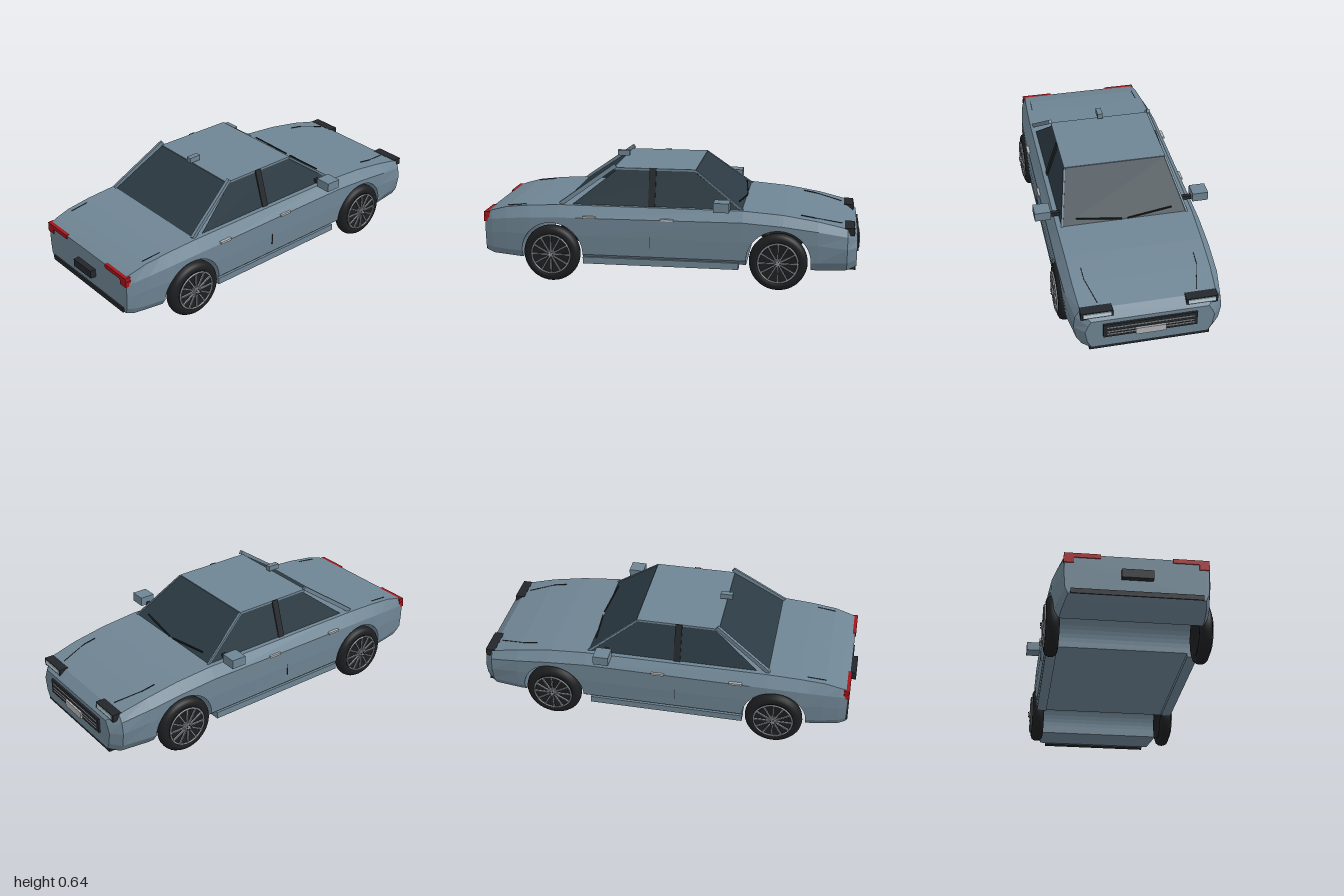
import * as THREE from 'three';

const mat = (color, extra = {}) => new THREE.MeshStandardMaterial({ color, ...extra });
const paint = mat(0x6f8594, { flatShading: true });
const glass = mat(0x2c3a43, { side: THREE.DoubleSide, flatShading: true });
const dark = mat(0x23272b);
const rubber = mat(0x1d1e20, { side: THREE.DoubleSide });
const metal = mat(0x8d9396);
const lens = mat(0xc3d6e0);
const red = mat(0xa3161c);
const plateGrey = mat(0xb2b4b6);

const WHEELS = [-0.6, 0.583], ARCH = 0.165, AXLE = 0.15;

// Half cross-sections from rear to front: x, then z,y of sill, lower side, middle, shoulder and top edge
const SECTIONS = [
  [-0.97, 0.32, 0.14, 0.335, 0.17, 0.34, 0.24, 0.34, 0.31, 0.325, 0.345],
  [-0.93, 0.33, 0.125, 0.345, 0.16, 0.352, 0.24, 0.352, 0.315, 0.335, 0.36],
  [-0.85, 0.34, 0.12, 0.36, 0.155, 0.367, 0.25, 0.366, 0.325, 0.34, 0.382],
  [-0.72, 0.35, 0.11, 0.375, 0.15, 0.385, 0.25, 0.382, 0.338, 0.347, 0.396],
  [-0.56, 0.353, 0.12, 0.385, 0.15, 0.39, 0.25, 0.39, 0.345, 0.352, 0.405],
  [0.4, 0.353, 0.12, 0.387, 0.15, 0.393, 0.25, 0.394, 0.352, 0.355, 0.405],
  [0.6, 0.353, 0.11, 0.386, 0.15, 0.392, 0.25, 0.392, 0.338, 0.35, 0.389],
  [0.78, 0.348, 0.105, 0.378, 0.15, 0.386, 0.245, 0.384, 0.315, 0.345, 0.36],
  [0.93, 0.33, 0.107, 0.355, 0.15, 0.368, 0.225, 0.36, 0.287, 0.335, 0.325],
  [0.98, 0.29, 0.12, 0.31, 0.16, 0.32, 0.225, 0.305, 0.26, 0.29, 0.285],
];

// Full ring of points at x, with everything below archY pushed up along the side
function ringAt(x, archY) {
  let k = 0;
  while (k < SECTIONS.length - 2 && x > SECTIONS[k + 1][0]) k++;
  const a = SECTIONS[k], b = SECTIONS[k + 1], t = (x - a[0]) / (b[0] - a[0]);
  const v = a.map((n, i) => n + (b[i] - n) * t);
  const half = [];
  for (let i = 1; i < 11; i += 2) half.push([v[i], v[i + 1]]);
  const zAt = (y) => {
    for (let i = 0; i < 4; i++) {
      const [z0, y0] = half[i], [z1, y1] = half[i + 1];
      if (y >= y0 && y <= y1) return z0 + (z1 - z0) * (y - y0) / (y1 - y0);
    }
    return half[4][0];
  };
  const side = half.map(([z, y]) => (y < archY ? [zAt(archY), archY] : [z, y]));
  return [...side.map(([z, y]) => [x, y, z]), ...side.reverse().map(([z, y]) => [x, y, -z])];
}

function bodyGeometry() {
  const stations = SECTIONS.map((s) => [s[0], 0])
    .filter(([x]) => WHEELS.every((w) => Math.abs(x - w) > ARCH));
  for (const w of WHEELS) {
    stations.push([w - ARCH - 1e-4, 0], [w + ARCH + 1e-4, 0]);
    for (let i = 0; i <= 24; i++) {
      const a = Math.PI * (1 - i / 24);
      stations.push([w + ARCH * Math.cos(a), AXLE + ARCH * Math.sin(a)]);
    }
  }
  stations.sort((p, q) => p[0] - q[0]);
  const rings = stations.map(([x, y]) => ringAt(x, y));
  const pos = [], n = 10, last = rings[rings.length - 1];
  const tri = (...p) => p.forEach((q) => pos.push(...q));
  for (let i = 0; i < rings.length - 1; i++) {
    for (let j = 0; j < n; j++) {
      const m = (j + 1) % n, a = rings[i][j], b = rings[i + 1][j], c = rings[i + 1][m], d = rings[i][m];
      tri(a, b, c);
      tri(a, c, d);
    }
  }
  for (let j = 1; j < n - 1; j++) {
    tri(rings[0][0], rings[0][j], rings[0][j + 1]);
    tri(last[0], last[j + 1], last[j]);
  }
  const g = new THREE.BufferGeometry();
  g.setAttribute('position', new THREE.Float32BufferAttribute(pos, 3));
  g.computeVertexNormals();
  return g;
}

export function createModel() {
  const car = new THREE.Group();
  car.name = 'car';
  const add = (name, geo, material, parent = car) => {
    const m = new THREE.Mesh(geo, material);
    m.name = name;
    parent.add(m);
    return m;
  };
  const box = (name, material, x0, x1, y0, y1, z0, z1) => {
    const m = add(name, new THREE.BoxGeometry(x1 - x0, y1 - y0, Math.abs(z1 - z0)), material);
    m.position.set((x0 + x1) / 2, (y0 + y1) / 2, (z0 + z1) / 2);
    return m;
  };
  // Square bar between two points
  const bar = (name, material, a, b, w, h) => {
    const p = new THREE.Vector3(...a), q = new THREE.Vector3(...b);
    const m = add(name, new THREE.BoxGeometry(w, h, p.distanceTo(q)), material);
    m.position.copy(p).add(q).multiplyScalar(0.5);
    m.lookAt(q);
    return m;
  };
  const quad = (name, material, a, b, c, d) => {
    const g = new THREE.BufferGeometry();
    g.setAttribute('position', new THREE.Float32BufferAttribute([a, b, c, a, c, d].flat(), 3));
    g.computeVertexNormals();
    return add(name, g, material);
  };

  add('body', bodyGeometry(), paint);

  // Cabin
  box('roof', paint, -0.285, 0.145, 0.58, 0.594, -0.27, 0.27);
  quad('windshield', glass, [0.395, 0.402, 0.327], [0.395, 0.402, -0.327], [0.145, 0.59, -0.268], [0.145, 0.59, 0.268]);
  quad('rearWindow', glass, [-0.56, 0.402, -0.325], [-0.56, 0.402, 0.325], [-0.285, 0.59, 0.268], [-0.285, 0.59, -0.268]);

  // Front and rear fittings
  box('grille', dark, 0.972, 0.99, 0.184, 0.263, -0.232, 0.232);
  for (const y of [0.243, 0.219, 0.203]) box('grilleSlat', plateGrey, 0.985, 0.994, y - 0.002, y + 0.002, -0.215, 0.215);
  box('frontPlate', plateGrey, 0.985, 1.0, 0.184, 0.222, -0.075, 0.075);
  box('rearPlate', dark, -1.0, -0.97, 0.225, 0.268, -0.075, 0.075);
  box('rearBumperStrip', dark, -0.978, -0.95, 0.14, 0.165, -0.31, 0.31);
  box('frontBumperStrip', dark, 0.94, 0.975, 0.102, 0.122, -0.3, 0.3);
  box('roofAntenna', paint, -0.315, -0.25, 0.608, 0.636, -0.014, 0.014);

  for (const s of [1, -1]) {
    // Side windows and pillars
    quad('sideWindow', glass, [-0.5, 0.402, s * 0.33], [0.385, 0.402, s * 0.33], [0.14, 0.583, s * 0.27], [-0.27, 0.583, s * 0.27]);
    bar('frontPillar', paint, [0.395, 0.402, s * 0.328], [0.145, 0.588, s * 0.268], 0.01, 0.01);
    bar('centrePillar', dark, [-0.078, 0.402, s * 0.332], [-0.078, 0.595, s * 0.27], 0.035, 0.008)
      .rotation.set(-s * Math.atan2(0.193, -0.062 * s) * s, 0, 0);
    bar('rearPillar', paint, [-0.56, 0.405, s * 0.332], [-0.275, 0.607, s * 0.275], 0.016, 0.022);

    // Mirrors
    box('mirror', paint, 0.256, 0.336, 0.417, 0.465, s * 0.374, s * 0.457);
    box('mirrorStalk', dark, 0.284, 0.306, 0.412, 0.432, s * 0.322, s * 0.38);

    // Doors and sills
    for (const x of [-0.395, 0.012]) box('doorHandle', plateGrey, x - 0.034, x + 0.034, 0.346, 0.357, s * 0.38, s * 0.399);
    box('doorSeam', dark, -0.079, -0.076, 0.2, 0.26, s * 0.38, s * 0.394);
    box('sill', paint, -0.435, 0.38, 0.1, 0.135, s * 0.33, s * 0.383);

    // Lights
    box('headlightBezel', dark, 0.915, 0.965, 0.292, 0.33, s * 0.18, s * 0.337);
    box('headlightLens', lens, 0.95, 0.969, 0.303, 0.325, s * 0.19, s * 0.325);
    box('tailLight', red, -0.975, -0.945, 0.328, 0.35, s * 0.17, s * 0.342);
    box('tailLightCorner', red, -0.975, -0.945, 0.3, 0.33, s * 0.295, s * 0.344);

    // Wipers and panel seams
    bar('wiper', dark, [0.395, 0.412, s * 0.015], [0.372, 0.431, s * 0.25], 0.006, 0.006);
    bar('hoodSeam', dark, [0.69, 0.377, s * 0.285], [0.76, 0.365, s * 0.283], 0.003, 0.004);
    bar('hoodSeam', dark, [0.76, 0.364, s * 0.283], [0.9, 0.333, s * 0.245], 0.003, 0.004);
    bar('trunkSeam', dark, [-0.85, 0.383, s * 0.31], [-0.75, 0.393, s * 0.315], 0.003, 0.004);

    for (const x of WHEELS) {
      const wheel = new THREE.Group();
      wheel.name = x > 0 ? 'frontWheel' : 'rearWheel';
      wheel.position.set(x, AXLE, s * 0.37);
      if (s < 0) wheel.rotation.y = Math.PI;
      car.add(wheel);
      const profile = [[0, -0.01], [0.095, -0.01], [0.105, -0.03], [0.125, -0.033], [0.14, -0.027], [0.148, -0.014],
        [0.15, 0], [0.148, 0.014], [0.14, 0.027], [0.125, 0.033], [0.107, 0.034], [0.1, 0.022], [0, 0.022]];
      const tyre = new THREE.LatheGeometry(profile.map((p) => new THREE.Vector2(...p)), 40);
      add('tyre', tyre.rotateX(Math.PI / 2), rubber, wheel);
      add('rim', new THREE.TorusGeometry(0.101, 0.005, 8, 40), metal, wheel).position.z = 0.037;
      for (let i = 0; i < 12; i++) {
        const spoke = new THREE.BoxGeometry(0.086, 0.007, 0.01).translate(0.057, 0, 0.038);
        add('spoke', spoke.rotateZ(i * Math.PI / 6), metal, wheel);
      }
      const hub = new THREE.CylinderGeometry(0.018, 0.022, 0.024, 20).rotateX(Math.PI / 2);
      add('hub', hub, metal, wheel).position.z = 0.038;
      for (let i = 0; i < 5; i++) {
        const a = i * Math.PI * 0.4, bolt = new THREE.CylinderGeometry(0.003, 0.003, 0.006, 8).rotateX(Math.PI / 2);
        add('wheelBolt', bolt, dark, wheel).position.set(0.012 * Math.cos(a), 0.012 * Math.sin(a), 0.052);
      }
    }
  }
  return car;
}
